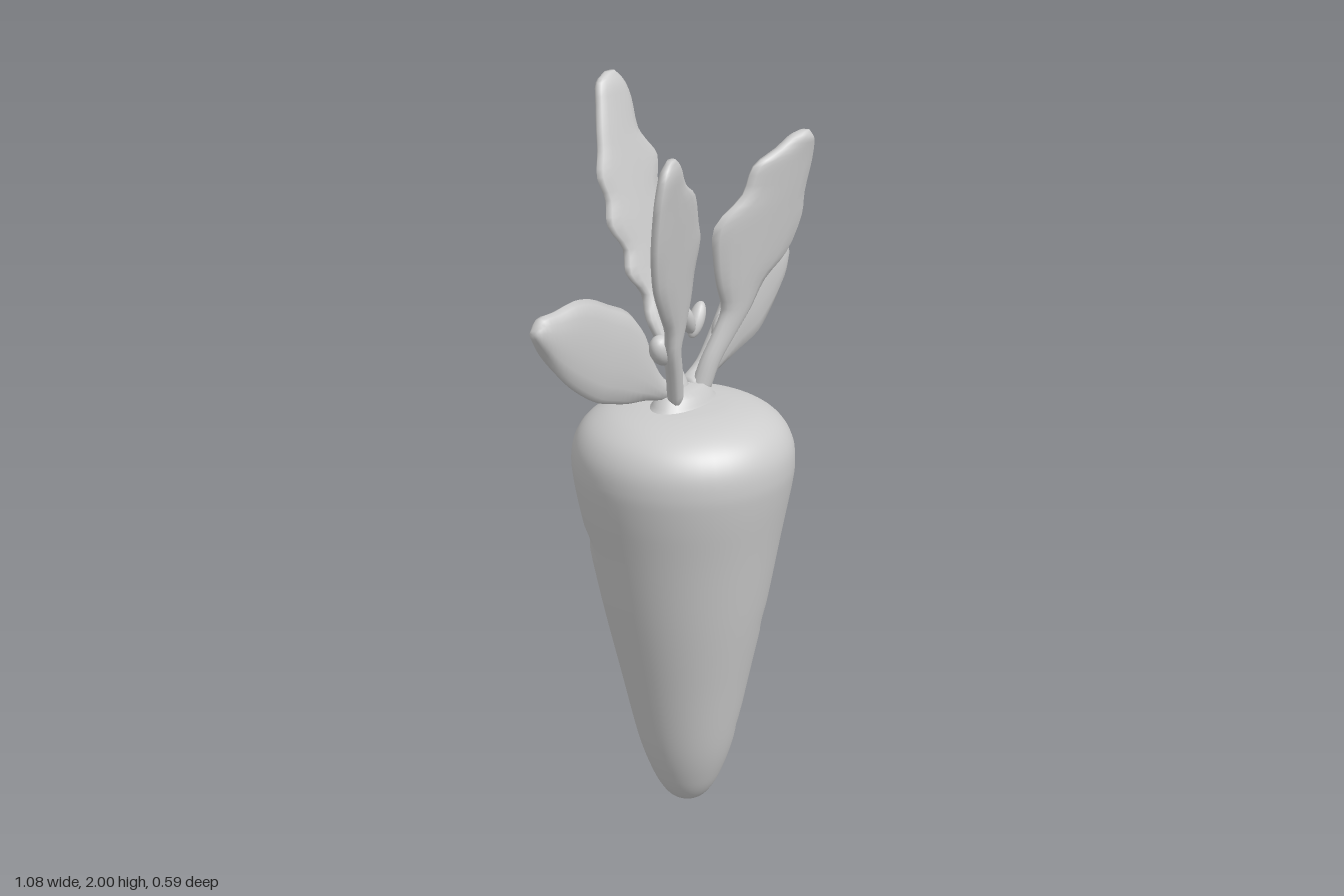
import * as THREE from 'three';

const grey = new THREE.MeshStandardMaterial({ color: 0xcccccc });
grey.name = 'plain grey';

// Leaf lofted from stalk to tip. Each station is [leftX, leftY, rightX, rightY]
// as seen along the direction of growth; depth(x, y) bends the blade in z.
function leaf(name, stations, depth, thickness) {
  const edge = (k) => new THREE.CatmullRomCurve3(
    stations.map((s) => new THREE.Vector3(s[k], s[k + 1], depth(s[k], s[k + 1]))));
  const left = edge(0), right = edge(2);
  const rings = (stations.length - 1) * 3, sides = 14;
  const pos = [], index = [];
  for (let i = 0; i <= rings; i++) {
    const a = left.getPoint(i / rings), b = right.getPoint(i / rings);
    const c = a.clone().add(b).multiplyScalar(0.5);
    const h = b.sub(a).multiplyScalar(0.5);
    const thick = thickness * Math.min(1, 0.45 + (rings - i) / 7);
    for (let j = 0; j < sides; j++) {
      const t = (j / sides) * Math.PI * 2;
      const s = Math.sin(t);
      pos.push(c.x + h.x * Math.cos(t), c.y + h.y * Math.cos(t),
        c.z + h.z * Math.cos(t) + thick * Math.sign(s) * Math.pow(Math.abs(s), 0.8));
    }
  }
  for (let i = 0; i < rings; i++) {
    for (let j = 0; j < sides; j++) {
      const k = (j + 1) % sides, p = i * sides, q = p + sides;
      index.push(p + j, q + j, p + k, p + k, q + j, q + k);
    }
  }
  // Close both ends
  for (const i of [0, rings]) {
    const a = left.getPoint(i / rings).add(right.getPoint(i / rings)).multiplyScalar(0.5);
    const centre = pos.length / 3;
    pos.push(a.x, a.y, a.z);
    for (let j = 0; j < sides; j++) {
      const u = i * sides + j, v = i * sides + ((j + 1) % sides);
      if (i === 0) index.push(centre, u, v); else index.push(centre, v, u);
    }
  }
  const g = new THREE.BufferGeometry();
  g.setAttribute('position', new THREE.Float32BufferAttribute(pos, 3));
  g.setIndex(index);
  g.computeVertexNormals();
  const m = new THREE.Mesh(g, grey);
  m.name = name;
  return m;
}

// Tapered root with a few shallow creases
function root() {
  const profile = [[0, 0], [0.03, 0.004], [0.062, 0.03], [0.095, 0.09], [0.132, 0.2], [0.176, 0.4],
    [0.219, 0.6], [0.257, 0.8], [0.286, 0.95], [0.293, 1.02], [0.284, 1.075], [0.255, 1.12],
    [0.205, 1.152], [0.14, 1.169], [0.07, 1.175], [0, 1.177]];
  const curve = new THREE.SplineCurve(profile.map((p) => new THREE.Vector2(...p)));
  const points = curve.getPoints(110);
  points.forEach((p) => { p.x = Math.max(0, p.x); p.y = Math.max(0, p.y); });
  points[0].x = points[points.length - 1].x = 0;
  const g = new THREE.LatheGeometry(points, 48);
  // Each crease: height, angle from +z towards +x, angular half-width
  const creases = [[0.56, 0.8, 0.5], [0.92, 1.7, 0.5], [0.6, 2.5, 0.6], [0.36, 1.9, 0.5], [0.24, 0.8, 0.5], [0.8, -2.4, 0.4]];
  const pos = g.attributes.position;
  for (let i = 0; i < pos.count; i++) {
    let x = pos.getX(i), z = pos.getZ(i);
    const y = pos.getY(i), angle = Math.atan2(x, z);
    let dent = 0;
    for (const [cy, ca, w] of creases) {
      const d = Math.atan2(Math.sin(angle - ca), Math.cos(angle - ca)) / w;
      dent += 0.008 * Math.exp(-d * d * 2 - ((y - cy) / 0.022) ** 2);
    }
    const r = Math.hypot(x, z);
    const k = r > 0.05 ? 1 - dent / r : 1;
    // The tip leans slightly to the side
    pos.setXYZ(i, x * k + 0.02 * Math.max(0, 1 - y / 0.9), y, z * k);
  }
  g.computeVertexNormals();
  // Match normals across the lathe seam
  const n = g.attributes.normal, row = points.length;
  for (let j = 0; j < row; j++) {
    const a = new THREE.Vector3().fromBufferAttribute(n, j);
    a.add(new THREE.Vector3().fromBufferAttribute(n, 48 * row + j)).normalize();
    n.setXYZ(j, a.x, a.y, a.z);
    n.setXYZ(48 * row + j, a.x, a.y, a.z);
  }
  const m = new THREE.Mesh(g, grey);
  m.name = 'root';
  return m;
}

function blob(name, x, y, z, sx, sy, sz, tilt) {
  const m = new THREE.Mesh(new THREE.SphereGeometry(1, 18, 12), grey);
  m.position.set(x, y, z);
  m.scale.set(sx, sy, sz);
  m.rotation.z = tilt;
  m.name = name;
  return m;
}

export function createModel() {
  const group = new THREE.Group();
  group.name = 'rootVegetable';
  group.add(root());

  // Crown where the stalks meet
  const crownShape = [[0.125, 1.165], [0.105, 1.18], [0.095, 1.2], [0.07, 1.215], [0, 1.215]];
  const crown = new THREE.Mesh(
    new THREE.LatheGeometry(crownShape.map((p) => new THREE.Vector2(...p)), 28), grey);
  crown.scale.z = 0.6;
  crown.name = 'crown';
  group.add(crown);

  // Tall back leaf
  group.add(leaf('backLeaf', [
    [-0.03, 1.18, 0.03, 1.18], [-0.03, 1.32, 0.015, 1.32], [-0.045, 1.39, 0.04, 1.39],
    [-0.03, 1.45, 0.02, 1.45], [-0.075, 1.51, 0.1, 1.51], [-0.065, 1.57, 0.1, 1.57],
    [-0.11, 1.64, 0.13, 1.64], [-0.095, 1.7, 0.125, 1.7], [-0.11, 1.76, 0.15, 1.77],
    [-0.085, 1.82, 0.12, 1.81], [-0.07, 1.87, 0.09, 1.85], [-0.05, 1.93, 0.087, 1.93],
    [-0.03, 1.98, 0.07, 1.975], [0.01, 2.0, 0.045, 2.0],
  ], (x, y) => (y < 1.48 ? -0.4 * (y - 1.19) : -0.116 - 0.255 * (y - 1.48)), 0.02));

  // Two front leaves
  const frontDepth = (x, y) => 0.005 + 0.13 * (y - 1.2) + 0.23 * Math.abs(x);
  group.add(leaf('frontRightLeaf', [
    [-0.08, 1.18, -0.03, 1.18], [-0.115, 1.27, -0.065, 1.29], [-0.15, 1.35, -0.09, 1.36],
    [-0.17, 1.415, -0.07, 1.405], [-0.22, 1.475, -0.05, 1.475], [-0.28, 1.55, -0.045, 1.55],
    [-0.31, 1.61, -0.028, 1.63], [-0.327, 1.67, -0.055, 1.685], [-0.335, 1.765, -0.1, 1.765],
    [-0.33, 1.81, -0.175, 1.81], [-0.315, 1.86, -0.225, 1.87], [-0.285, 1.89, -0.255, 1.89],
  ], frontDepth, 0.022));
  group.add(leaf('frontLeftLeaf', [
    [0.025, 1.18, 0.075, 1.18], [0.05, 1.27, 0.1, 1.26], [0.085, 1.35, 0.15, 1.335],
    [0.1, 1.405, 0.19, 1.395], [0.07, 1.475, 0.23, 1.465], [0.045, 1.55, 0.3, 1.525],
    [0.035, 1.64, 0.34, 1.62], [0.12, 1.71, 0.335, 1.685], [0.145, 1.78, 0.345, 1.765],
    [0.22, 1.815, 0.342, 1.81], [0.27, 1.845, 0.335, 1.83], [0.3, 1.852, 0.32, 1.85],
  ], frontDepth, 0.022));

  // Two low side leaves
  group.add(leaf('sideRightLeaf', [
    [-0.03, 1.18, -0.03, 1.23], [-0.1, 1.2, -0.08, 1.26], [-0.14, 1.21, -0.12, 1.32],
    [-0.205, 1.22, -0.15, 1.4], [-0.26, 1.235, -0.205, 1.465], [-0.32, 1.255, -0.275, 1.5],
    [-0.385, 1.295, -0.34, 1.53], [-0.44, 1.34, -0.4, 1.54], [-0.49, 1.395, -0.465, 1.53],
    [-0.525, 1.445, -0.52, 1.525], [-0.545, 1.48, -0.543, 1.5],
  ], (x) => -0.012 + 0.07 * x, 0.028));
  group.add(leaf('sideLeftLeaf', [
    [0.03, 1.23, 0.03, 1.18], [0.1, 1.26, 0.11, 1.2], [0.15, 1.315, 0.165, 1.21],
    [0.215, 1.395, 0.225, 1.22], [0.27, 1.46, 0.28, 1.23], [0.335, 1.485, 0.37, 1.25],
    [0.41, 1.505, 0.415, 1.28], [0.46, 1.495, 0.46, 1.32], [0.505, 1.483, 0.51, 1.38],
    [0.535, 1.46, 0.537, 1.42],
  ], (x) => -0.005 - 0.06 * x, 0.026));

  // Small leaflets on the stalks
  group.add(blob('leaflet', -0.135, 1.355, 0.03, 0.035, 0.045, 0.03, 0.6));
  group.add(blob('leaflet', 0.14, 1.34, 0.03, 0.035, 0.045, 0.03, -0.6));
  group.add(blob('leaflet', 0.03, 1.39, 0.02, 0.02, 0.05, 0.022, -0.5));
  group.add(blob('leaflet', -0.03, 1.41, 0.03, 0.02, 0.05, 0.022, 0.5));
  return group;
}
